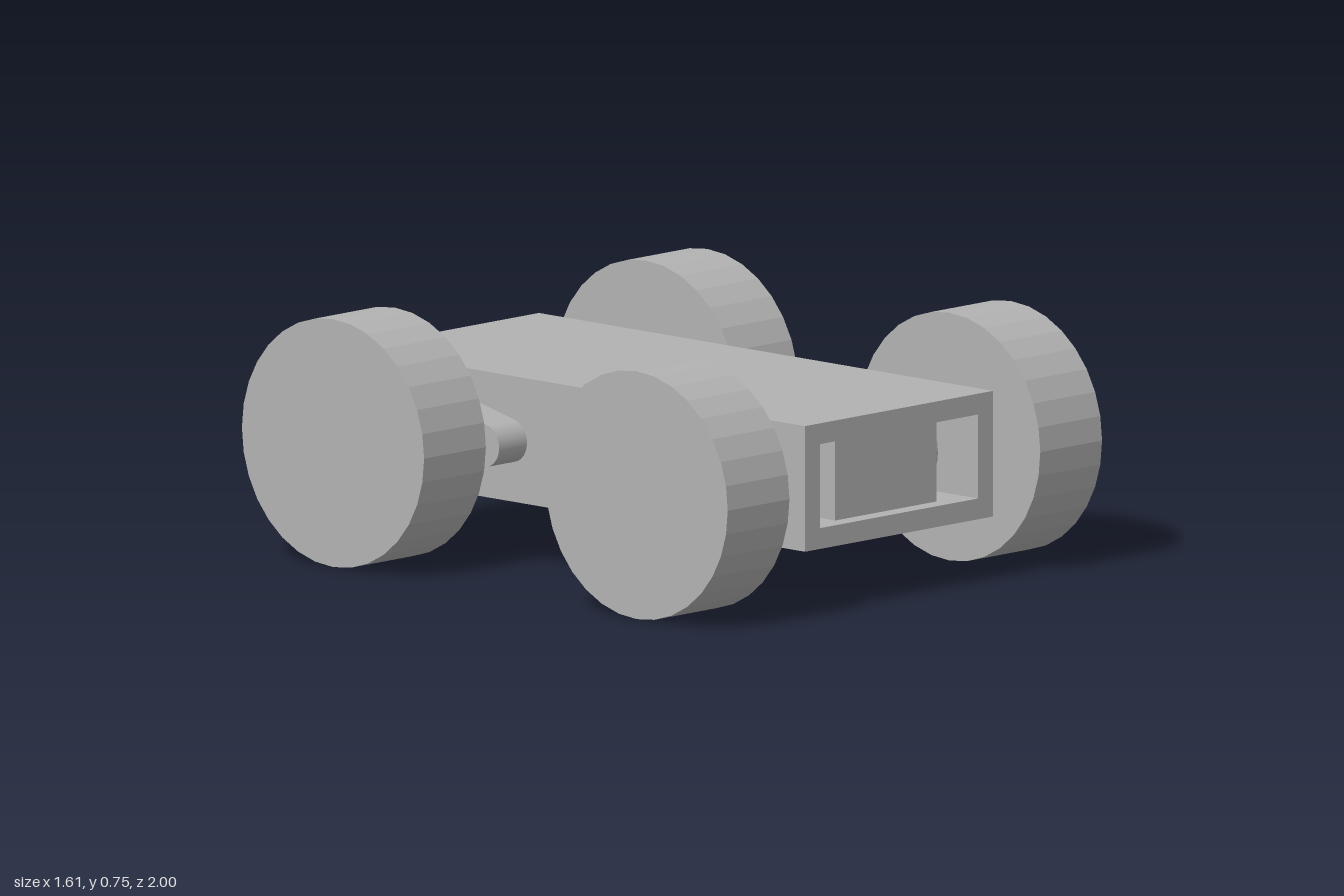
import * as THREE from 'three';

const gray = new THREE.MeshStandardMaterial({ color: 0xb2b2b2, flatShading: true });
gray.name = 'plain gray';

const AXLE_Y = 0.375, AXLE_Z = 0.625;

function part(name, geometry, x = 0, y = 0, z = 0) {
  const mesh = new THREE.Mesh(geometry, gray);
  mesh.name = name;
  mesh.position.set(x, y, z);
  return mesh;
}

// Cylinder lying along x
function crossCylinder(radius, length) {
  return new THREE.CylinderGeometry(radius, radius, length, 32).rotateZ(Math.PI / 2);
}

function rectangle(path, halfWidth, halfHeight) {
  path.moveTo(-halfWidth, -halfHeight);
  path.lineTo(halfWidth, -halfHeight);
  path.lineTo(halfWidth, halfHeight);
  path.lineTo(-halfWidth, halfHeight);
  path.closePath();
  return path;
}

// Tapered arm hugging the axle, with a small rounded inner end
function armGeometry(bigRadius, smallRadius, reach, thickness) {
  const tangent = Math.acos((bigRadius - smallRadius) / reach);
  const shape = new THREE.Shape();
  shape.absarc(0, 0, bigRadius, tangent, Math.PI * 2 - tangent, false);
  shape.absarc(reach, 0, smallRadius, -tangent, tangent, false);
  shape.closePath();
  const geometry = new THREE.ExtrudeGeometry(shape, { depth: thickness, bevelEnabled: false, curveSegments: 16 });
  return geometry.translate(0, 0, -thickness / 2).rotateY(Math.PI / 2);
}

export function createModel() {
  const model = new THREE.Group();
  model.name = 'rollingChassis';

  // Hollow box body, open at both ends
  const section = rectangle(new THREE.Shape(), 0.405, 0.19);
  section.holes.push(rectangle(new THREE.Path(), 0.34, 0.127));
  const shell = new THREE.ExtrudeGeometry(section, { depth: 1.87, bevelEnabled: false });
  model.add(part('bodyShell', shell.translate(0, 0, -0.935), 0, 0.38, 0));

  // Block filling the middle of the body
  model.add(part('innerBlock', new THREE.BoxGeometry(0.436, 0.254, 1.76), 0, 0.38, 0));

  for (const end of [1, -1]) {
    const endName = end > 0 ? 'front' : 'rear';
    model.add(part(endName + 'Axle', crossCylinder(0.145, 1.1), 0, AXLE_Y, end * AXLE_Z));

    for (const side of [1, -1]) {
      const name = endName + (side > 0 ? 'Left' : 'Right');
      model.add(part(name + 'Wheel', crossCylinder(0.375, 0.266), side * 0.673, AXLE_Y, end * AXLE_Z));

      // Arm points towards the middle of the body
      const arm = part(name + 'Arm', armGeometry(0.145, 0.065, 0.35, 0.14), side * 0.455, AXLE_Y, end * AXLE_Z);
      if (end < 0) arm.rotation.y = Math.PI;
      model.add(arm);
    }
  }
  return model;
}
